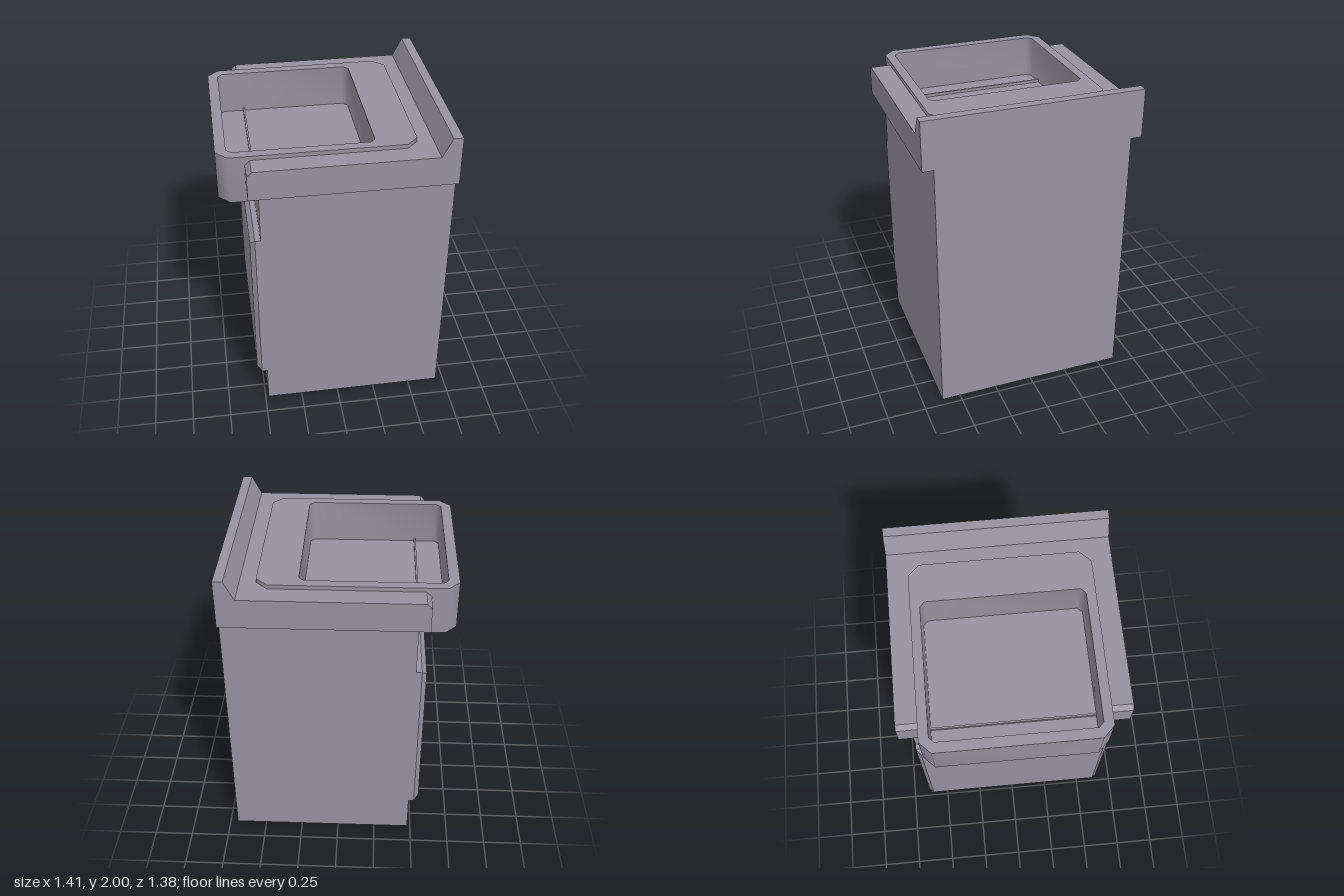
import * as THREE from 'three';
import { toCreasedNormals } from 'three/addons/utils/BufferGeometryUtils.js';

const enamel = new THREE.MeshStandardMaterial({ color: 0x96929e });
enamel.name = 'greyEnamel';

// Closed outline from [x, y] points
const outline = (pts) => new THREE.Shape(pts.map(([x, y]) => new THREE.Vector2(x, y)));

// Rectangle in plan with cut corners
function cutRect(x0, x1, h, c) {
  return outline([
    [x0 + c, -h], [x1 - c, -h], [x1, -h + c], [x1, h - c],
    [x1 - c, h], [x0 + c, h], [x0, h - c], [x0, -h + c],
  ]);
}

// Plan outline raised from y0 to y1
function raise(shape, y0, y1) {
  const g = new THREE.ExtrudeGeometry(shape, { depth: y1 - y0, bevelEnabled: false });
  g.rotateX(-Math.PI / 2);
  g.translate(0, y0, 0);
  return g;
}

// Side profile run along z from z0 to z1
function run(shape, z0, z1) {
  const g = new THREE.ExtrudeGeometry(shape, { depth: z1 - z0, bevelEnabled: false });
  g.translate(0, 0, z0);
  return g;
}

function box(x0, x1, y0, y1, z0, z1) {
  const g = new THREE.BoxGeometry(x1 - x0, y1 - y0, z1 - z0);
  g.translate((x0 + x1) / 2, (y0 + y1) / 2, (z0 + z1) / 2);
  return g;
}

// Door on the -x side: bevelled edge, with a sloped finger scoop in the top
function doorGeometry() {
  const xBack = -0.48, xMid = -0.515, xFace = -0.545;
  const b = 0.03, z = 0.62, y0 = 0.25, y1 = 1.345;
  const pos = [];
  const face = (...p) => {
    for (let i = 1; i < p.length - 1; i++) pos.push(...p[0], ...p[i], ...p[i + 1]);
  };
  const ring = (x, d) => [
    [x, y0 + d, -z + d], [x, y0 + d, z - d], [x, y1 - d, z - d], [x, y1 - d, -z + d],
  ];
  const back = ring(xBack, 0), mid = ring(xMid, 0), front = ring(xFace, b);
  // Edge walls and bevels; the top bevel is split around the scoop
  for (let i = 0; i < 4; i++) {
    const j = (i + 1) % 4;
    face(back[i], back[j], mid[j], mid[i]);
    if (i !== 2) face(mid[i], mid[j], front[j], front[i]);
  }
  const yTop = y1 - b, yLow = 1.24;
  const s = [-1, 1].map((k) => ({
    top: [xFace, yTop, k * 0.14], low: [xFace, yLow, k * 0.08], out: [xMid, y1, k * 0.1],
  }));
  const [l, r] = s;
  face(mid[2], r.out, r.top, front[2]);
  face(l.out, mid[3], front[3], l.top);
  face(r.out, l.out, l.low, r.low);
  face(r.out, r.low, r.top);
  face(l.out, l.top, l.low);
  // Flat front around the scoop
  face(l.low, front[0], front[1], r.low);
  face(l.low, l.top, front[3], front[0]);
  face(r.low, front[1], front[2], r.top);
  const g = new THREE.BufferGeometry();
  g.setAttribute('position', new THREE.Float32BufferAttribute(pos, 3));
  g.computeVertexNormals();
  return g;
}

export function createModel() {
  const model = new THREE.Group();
  model.name = 'sinkCabinet';
  const add = (name, geometry) => {
    const mesh = new THREE.Mesh(geometry, enamel);
    mesh.name = name;
    model.add(mesh);
    return mesh;
  };

  // Cabinet, open around the basin at the top
  add('cabinet', box(-0.48, 0.70, 0, 1.605, -0.62, 0.62));
  add('cabinetTop', raise(outline([
    [-0.48, -0.62], [0.70, -0.62], [0.70, 0.62], [-0.48, 0.62],
    [-0.48, 0.53], [0.4, 0.53], [0.4, -0.53], [-0.48, -0.53],
  ]), 1.605, 1.70));
  add('door', doorGeometry()).material = enamel;

  // Worktop with raised back edge, cut away for the sink
  const rear = [[0.70, 1.69], [0.70, 2], [0.64, 2], [0.58, 1.88]];
  const side = outline([...rear, [-0.515, 1.88], [-0.545, 1.85], [-0.545, 1.69]]);
  const middle = outline([...rear, [0.4, 1.88], [0.4, 1.69]]);
  add('worktopRight', run(side, -0.69, -0.55));
  add('worktopLeft', run(side, 0.55, 0.69));
  add('worktopBack', run(middle, -0.55, 0.55));

  // Sink with cut corners, projecting beyond the cabinet
  const rim = cutRect(-0.71, 0.48, 0.56, 0.07);
  rim.holes.push(cutRect(-0.645, 0.23, 0.5, 0.03));
  add('sinkWalls', toCreasedNormals(raise(rim, 1.60, 1.907), 0.9));
  add('sinkFloor', raise(cutRect(-0.70, 0.47, 0.55, 0.07), 1.601, 1.63));
  add('floorRidge', box(-0.49, -0.478, 1.62, 1.65, -0.51, 0.51));

  return model;
}
